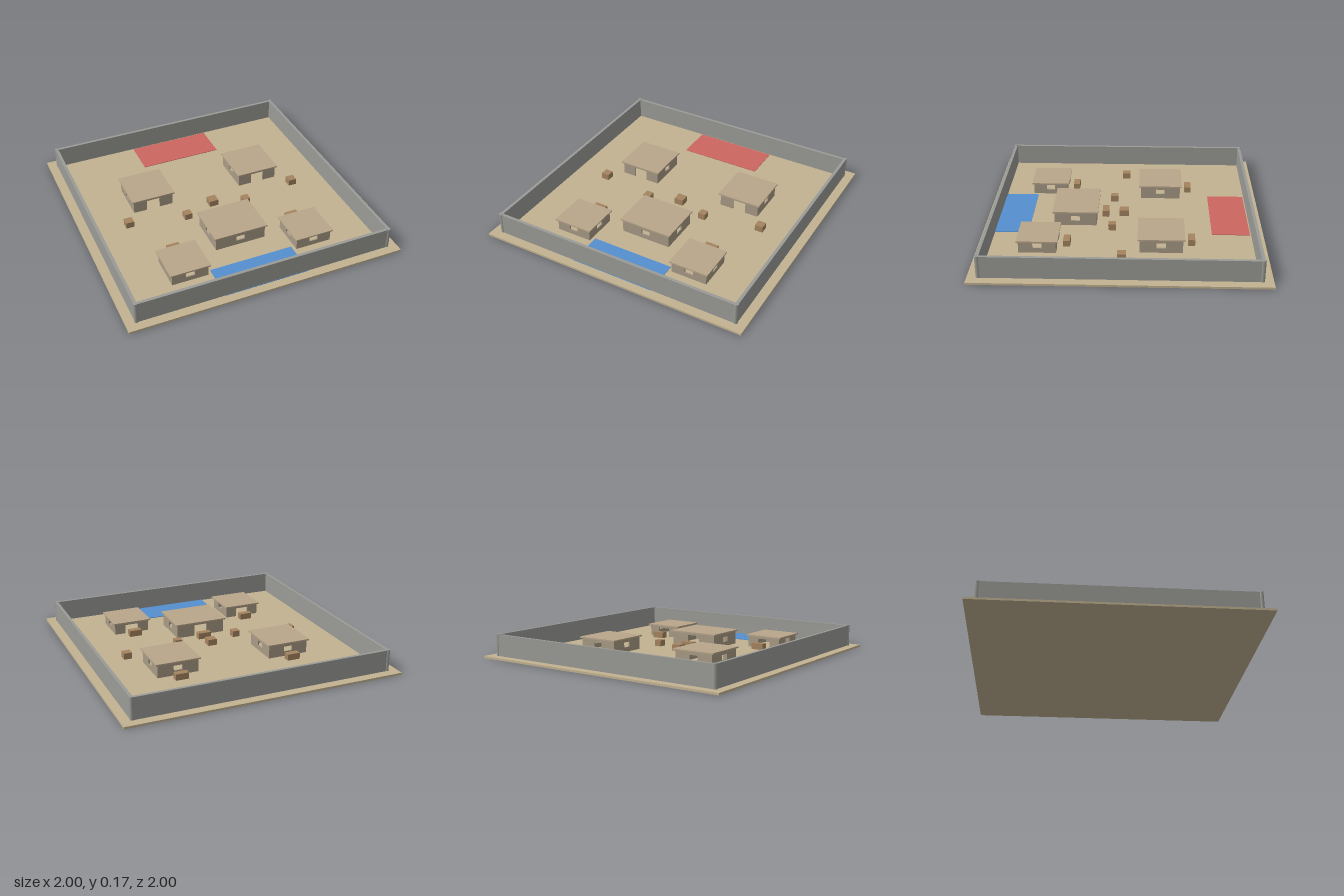
import * as THREE from 'three';

const material = (color) => new THREE.MeshStandardMaterial({ color, side: THREE.DoubleSide });
const FLOOR = 0.015; // top of the ground slab

export function createModel() {
  const model = new THREE.Group();
  const sand = material(0xc2b291);
  const stone = material(0x9a9a96);
  const plaster = material(0xa89a85);
  const roofing = material(0xb8a58a);
  const wood = material(0xa5845f);

  // Box placed by its centre in plan and by its bottom
  function box(parent, name, mat, w, h, d, x, y, z) {
    const mesh = new THREE.Mesh(new THREE.BoxGeometry(w, h, d), mat);
    mesh.position.set(x, y + h / 2, z);
    mesh.name = name;
    parent.add(mesh);
    return mesh;
  }

  // Upright panel with a window hole or a door gap, centred on its own origin
  function wallPanel(name, width, height, opening) {
    const w = width / 2;
    const shape = new THREE.Shape();
    shape.moveTo(-w, 0);
    if (opening === 'door') {
      const top = height - 0.016;
      shape.lineTo(-0.05, 0).lineTo(-0.05, top).lineTo(0.05, top).lineTo(0.05, 0);
    }
    shape.lineTo(w, 0).lineTo(w, height).lineTo(-w, height).closePath();
    if (opening === 'window') {
      const hole = new THREE.Path();
      hole.moveTo(-0.032, 0.035).lineTo(-0.032, 0.072).lineTo(0.032, 0.072).lineTo(0.032, 0.035).closePath();
      shape.holes.push(hole);
    }
    const geometry = new THREE.ExtrudeGeometry(shape, { depth: 0.01, bevelEnabled: false });
    geometry.translate(0, 0, -0.01);
    const mesh = new THREE.Mesh(geometry, plaster);
    mesh.name = name;
    return mesh;
  }

  // Hut: four walls, a door on its own +z side, windows elsewhere, flat roof
  function hut(name, x, z, roofW, roofD, top, doorToBack) {
    const group = new THREE.Group();
    group.name = name;
    const w = roofW - 0.026, d = roofD - 0.026;
    const roofH = 0.01, wallH = top - roofH - FLOOR;
    const sides = [
      ['doorWall', w, d / 2, 0, 'door'],
      ['sideWall', d - 0.02, w / 2, Math.PI / 2, 'window'],
      ['rearWall', w, d / 2, Math.PI, 'window'],
      ['sideWall', d - 0.02, w / 2, -Math.PI / 2, 'window'],
    ];
    for (const [label, width, out, angle, opening] of sides) {
      const panel = wallPanel(label, width, wallH, opening);
      panel.rotation.y = angle;
      panel.position.set(Math.sin(angle) * out, 0, Math.cos(angle) * out);
      group.add(panel);
    }
    box(group, 'roof', roofing, roofW, roofH, roofD, 0, wallH, 0);
    group.position.set(x, FLOOR, z);
    if (doorToBack) group.rotation.y = Math.PI;
    model.add(group);
  }

  // Ground slab and the two coloured zones
  box(model, 'ground', sand, 2, FLOOR, 2, 0, 0, 0);
  box(model, 'redZone', material(0xcc6660), 0.615, 0.004, 0.27, 0, FLOOR, -0.77);
  box(model, 'blueZone', material(0x5590d0), 0.615, 0.004, 0.265, 0, FLOOR, 0.805);

  // Perimeter walls and corner posts
  for (const s of [-1, 1]) {
    box(model, 'perimeterWall', stone, 1.85, 0.155, 0.022, 0, FLOOR, s * 0.924);
    box(model, 'perimeterWall', stone, 0.022, 0.155, 1.85, s * 0.924, FLOOR, 0);
    for (const t of [-1, 1]) {
      const post = new THREE.Mesh(new THREE.CylinderGeometry(0.016, 0.016, 0.157, 8), stone);
      post.name = 'cornerPost';
      post.position.set(s * 0.924, FLOOR + 0.0785, t * 0.924);
      model.add(post);
    }
  }

  // Huts
  hut('centreHut', 0, 0.345, 0.4, 0.33, 0.125, true);
  for (const s of [-1, 1]) {
    hut('backHut', s * 0.423, -0.272, 0.327, 0.325, 0.12, false);
    hut('frontHut', s * 0.465, 0.577, 0.29, 0.285, 0.107, true);
  }

  // Long crates next to the huts, small crates in the yard
  const crate = (x, z, w, d) => box(model, 'crate', wood, w, 0.046, d, x, FLOOR, z);
  crate(0, 0.132, 0.1, 0.048);
  crate(0, -0.003, 0.068, 0.068);
  for (const s of [-1, 1]) {
    crate(s * 0.425, -0.485, 0.096, 0.048);
    crate(s * 0.461, 0.383, 0.094, 0.048);
    crate(s * 0.654, -0.003, 0.06, 0.06);
    crate(s * 0.232, 0.077, 0.055, 0.055);
  }
  return model;
}
